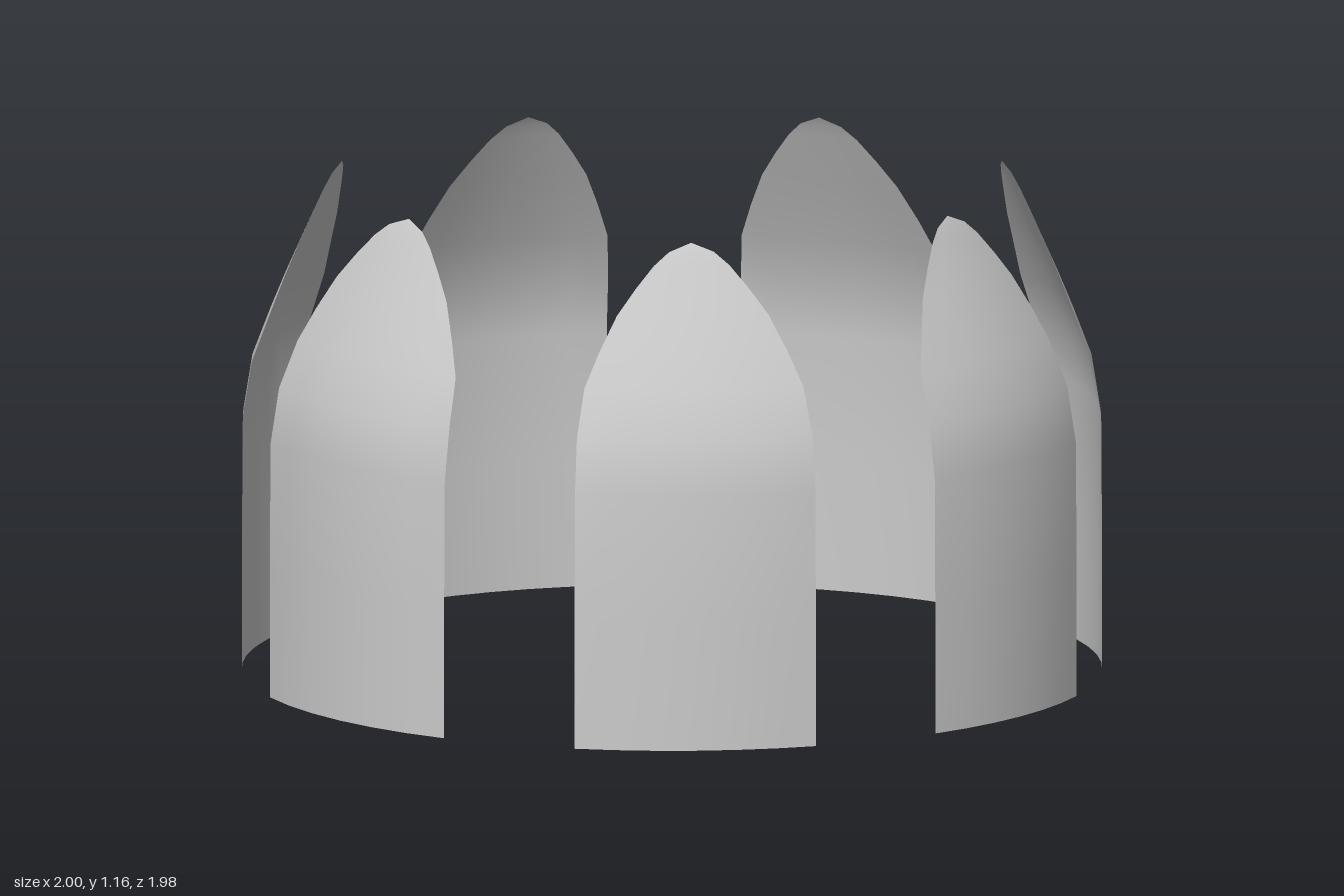
import * as THREE from 'three';

// Petal profile from base to tip: height, ring radius, share of the full angular width
const PROFILE = [
  [0, 0.998, 1], [0.3, 0.998, 1], [0.6, 0.996, 1], [0.73, 0.975, 1],
  [0.84, 0.933, 0.97], [0.92, 0.9, 0.86], [1.0, 0.865, 0.72],
  [1.06, 0.838, 0.55], [1.11, 0.816, 0.38], [1.14, 0.802, 0.23], [1.16, 0.79, 0],
];
const COLUMNS = 6;

// Curved sheet wrapped round the y axis, its top leaning inward to a point
function petalGeometry(centreDeg, halfDeg) {
  const rows = PROFILE.length - 1;
  const geometry = new THREE.PlaneGeometry(1, 1, COLUMNS, rows);
  const position = geometry.attributes.position;
  const centre = THREE.MathUtils.degToRad(centreDeg);
  const half = THREE.MathUtils.degToRad(halfDeg);
  for (let i = 0; i < position.count; i++) {
    const row = rows - Math.floor(i / (COLUMNS + 1));
    const [y, radius, width] = PROFILE[row];
    const across = (i % (COLUMNS + 1)) / COLUMNS * 2 - 1;
    const angle = centre + across * half * width;
    position.setXYZ(i, radius * Math.sin(angle), y, radius * Math.cos(angle));
  }
  geometry.computeVertexNormals();
  return geometry;
}

export function createModel() {
  const group = new THREE.Group();
  group.name = 'petalRing';
  const material = new THREE.MeshStandardMaterial({ color: 0xcccccc, side: THREE.DoubleSide });

  const addPetal = (name, centre, half) => {
    const mesh = new THREE.Mesh(petalGeometry(centre, half), material);
    mesh.name = name;
    mesh.position.x = 0.005;
    group.add(mesh);
  };

  // Wider petal at the front, three mirrored pairs round the ring
  addPetal('frontPetal', 0, 18.6);
  const pairs = [['FrontPetal', 53.8, 16.3], ['SidePetal', 104.5, 16.2], ['BackPetal', 155, 16.1]];
  for (const [name, centre, half] of pairs) {
    addPetal('left' + name, centre, half);
    addPetal('right' + name, -centre, half);
  }
  return group;
}
